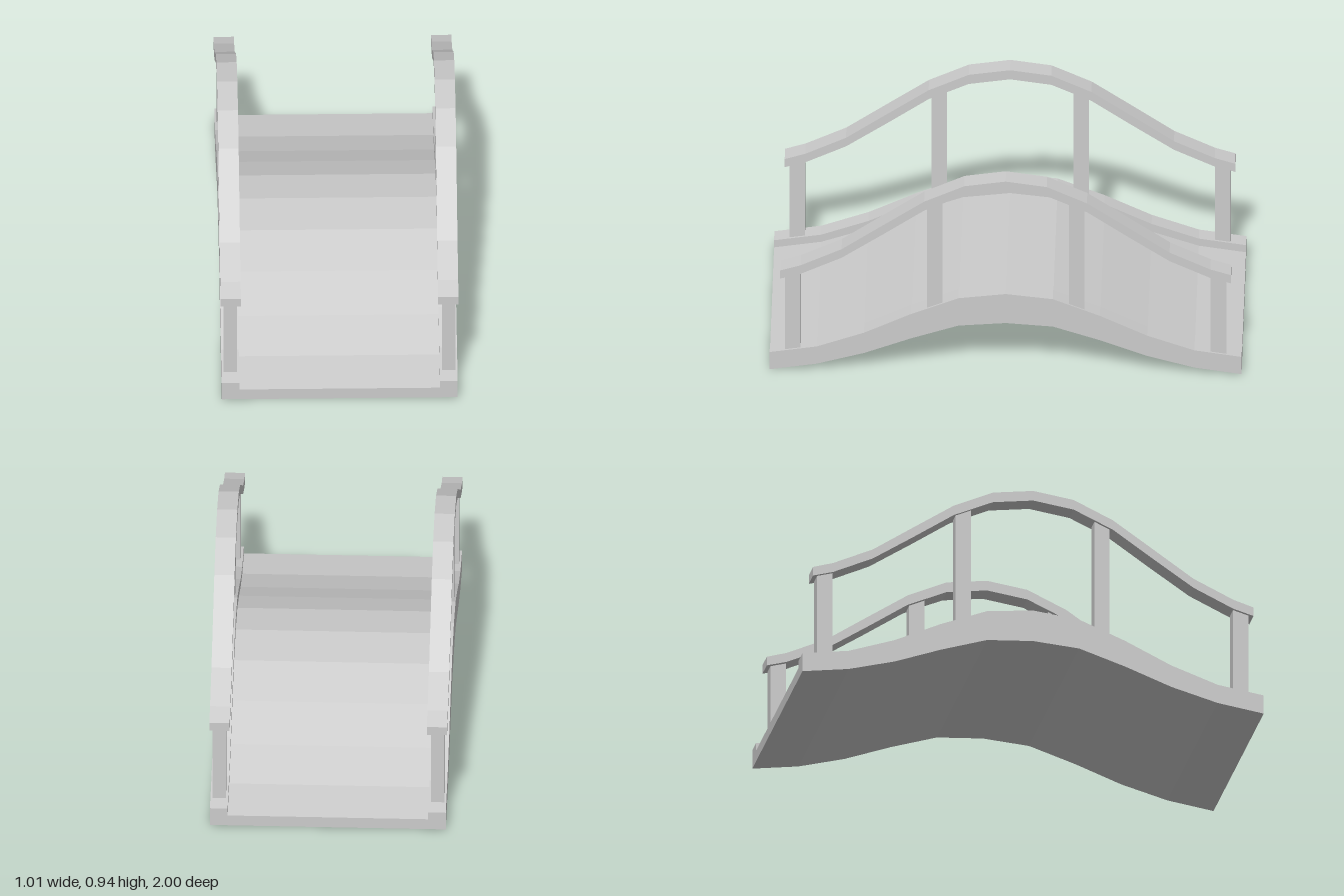
import * as THREE from 'three';

const material = new THREE.MeshStandardMaterial({ color: 0xcccccc, flatShading: true });

// Half spans, from the crown (z = 0) to one end: [z, height of level 0, level 1, ...]
const DECK = [ // underside, walkway, curb top
  [0, 0.24, 0.33, 0.383], [0.2, 0.225, 0.307, 0.36], [0.4, 0.16, 0.235, 0.28],
  [0.6, 0.085, 0.147, 0.185], [0.8, 0.03, 0.08, 0.115], [1, 0, 0.05, 0.085],
];
const RAIL = [ // underside, top
  [0, 0.895, 0.94], [0.175, 0.87, 0.915], [0.345, 0.793, 0.837], [0.52, 0.673, 0.718],
  [0.695, 0.556, 0.598], [0.868, 0.475, 0.517], [0.955, 0.45, 0.49],
];

// Sweeps a section along z; each section y is a level number looked up in the span table
function sweep(section, half) {
  const span = [...half.slice(1).reverse().map(([z, ...h]) => [-z, ...h]), ...half];
  const steps = span.length - 1;
  const shape = new THREE.Shape(section.map(([x, y]) => new THREE.Vector2(x, y)));
  const geometry = new THREE.ExtrudeGeometry(shape, { depth: steps, steps, bevelEnabled: false });
  const p = geometry.attributes.position;
  for (let i = 0; i < p.count; i++) {
    const row = span[Math.round(p.getZ(i))];
    p.setY(i, row[1 + Math.round(p.getY(i))]);
    p.setZ(i, row[0]);
  }
  geometry.computeVertexNormals();
  return geometry;
}

function addMesh(parent, name, geometry) {
  const mesh = new THREE.Mesh(geometry, material);
  mesh.name = name;
  parent.add(mesh);
  return mesh;
}

export function createModel() {
  const bridge = new THREE.Group();
  bridge.name = 'footbridge';

  // Arched walkway with a raised curb along each side
  addMesh(bridge, 'deck', sweep([
    [-0.5, 0], [0.5, 0], [0.5, 2], [0.425, 2],
    [0.425, 1], [-0.425, 1], [-0.425, 2], [-0.5, 2],
  ], DECK));

  for (const [side, s] of [['left', 1], ['right', -1]]) {
    const railing = new THREE.Group();
    railing.name = side + 'Railing';
    bridge.add(railing);

    // Curved handrail
    const x = s * 0.461, w = 0.043;
    addMesh(railing, side + 'Handrail',
      sweep([[x - w, 0], [x + w, 0], [x + w, 1], [x - w, 1]], RAIL));

    // Posts: short at the ends, tall beside the crown
    for (const dir of [1, -1]) {
      for (const [name, z, bottom, top] of [['EndPost', 0.902, 0.09, 0.478], ['MiddlePost', 0.301, 0.3, 0.825]]) {
        const post = addMesh(railing, side + (dir > 0 ? 'Front' : 'Back') + name,
          new THREE.BoxGeometry(0.057, top - bottom, 0.066));
        post.position.set(s * 0.463, (top + bottom) / 2, dir * z);
        // Trim the post head to the slope of the rail
        const p = post.geometry.attributes.position;
        const slope = name === 'EndPost' ? 0.3 : 0.45;
        for (let i = 0; i < p.count; i++) {
          if (p.getY(i) > 0) p.setY(i, p.getY(i) - dir * p.getZ(i) * slope);
        }
      }
    }
  }
  return bridge;
}
